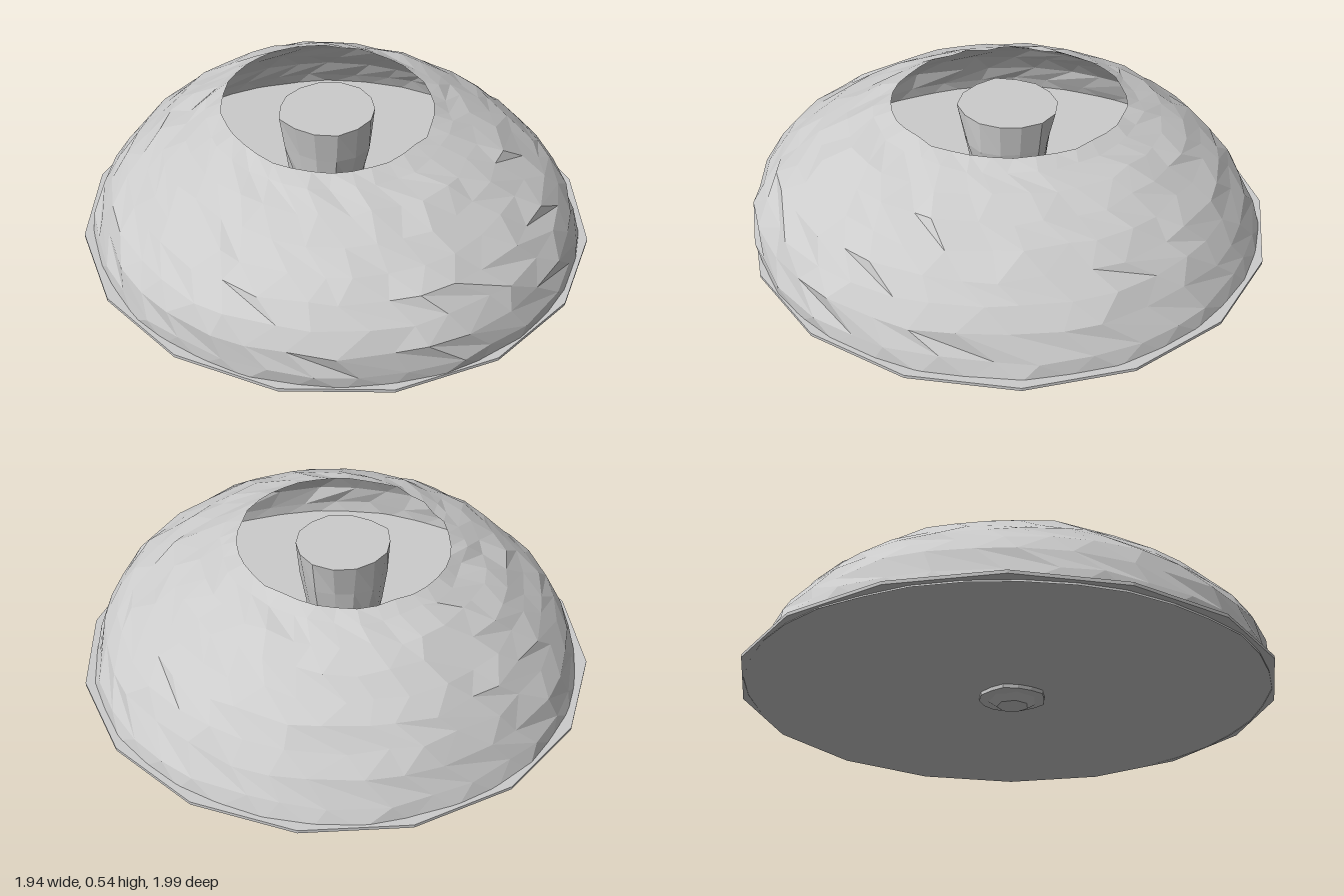
import * as THREE from 'three';

// Repeatable noise in -1..1 from two integers
function noise(i, j) {
  const s = Math.sin(i * 127.1 + j * 311.7 + 4.2) * 43758.5453;
  return (s - Math.floor(s)) * 2 - 1;
}

const material = () => new THREE.MeshStandardMaterial({
  color: 0xcccccc, flatShading: true, side: THREE.DoubleSide,
});

function named(name, geometry) {
  const mesh = new THREE.Mesh(geometry, material());
  mesh.name = name;
  return mesh;
}

// Rough open dome: a lathe whose vertices are nudged and leaned
function domeGeometry() {
  const profile = [
    [0.955, 0.035], [0.945, 0.1], [0.915, 0.18], [0.87, 0.25], [0.81, 0.315],
    [0.74, 0.37], [0.66, 0.425], [0.57, 0.47], [0.48, 0.505], [0.42, 0.53],
  ].map(([r, y]) => new THREE.Vector2(r, y));
  const segments = 36, rows = profile.length;
  const geo = new THREE.LatheGeometry(profile, segments);
  const pos = geo.attributes.position;
  for (let k = 0; k < pos.count; k++) {
    const row = k % rows, col = Math.floor(k / rows) % segments;
    const { x: r, y } = profile[row];
    const inner = row > 0 && row < rows - 1;
    const turn = inner ? noise(col, row) * 0.04 + (row % 2) * 0.08 : 0;
    const a = (col / segments) * Math.PI * 2 + turn;
    const radius = r + noise(col + 50, row) * (inner ? 0.012 : 0.006);
    const t = (y - 0.035) / 0.495;
    const top = row === rows - 1;
    pos.setXYZ(k,
      Math.sin(a) * radius * (0.98 - 0.05 * t) - 0.03 * t,
      y + (inner ? noise(col, row + 30) * 0.008 : top ? noise(col, 70) * 0.006 : 0),
      Math.cos(a) * radius * (1.015 + 0.025 * t) + 0.04 * Math.sin(Math.PI * t));
  }
  geo.computeVertexNormals();
  return geo;
}

// Tapered post with a ragged outline and a flat cap
function postGeometry() {
  const profile = [
    [0, 0.01], [0.12, 0.025], [0.13, 0.12], [0.145, 0.25],
    [0.165, 0.38], [0.185, 0.51], [0, 0.51],
  ].map(([r, y]) => new THREE.Vector2(r, y));
  const segments = 14, rows = profile.length;
  const geo = new THREE.LatheGeometry(profile, segments);
  const pos = geo.attributes.position;
  for (let k = 0; k < pos.count; k++) {
    const row = k % rows, col = Math.floor(k / rows) % segments;
    const s = 1 + noise(col, row + 90) * 0.06;
    pos.setX(k, pos.getX(k) * s);
    pos.setZ(k, pos.getZ(k) * s);
  }
  geo.computeVertexNormals();
  return geo;
}

export function createModel() {
  const group = new THREE.Group();
  group.name = 'domedBowl';

  // Thin sixteen-sided floor, slightly tilted
  const floor = named('floorPlate', new THREE.CylinderGeometry(1, 1, 0.012, 16));
  floor.scale.set(0.972, 1, 0.997);
  floor.position.y = 0.044;
  floor.rotation.z = -0.006;

  const dome = named('domeShell', domeGeometry());

  const post = named('centrePost', postGeometry());
  post.position.x = -0.03;

  // Small ragged nub where the post pokes through the floor
  const nub = named('postNub', new THREE.CylinderGeometry(0.12, 0.06, 0.04, 7));
  nub.position.set(-0.03, 0.02, 0);

  group.add(floor, dome, post, nub);
  return group;
}
